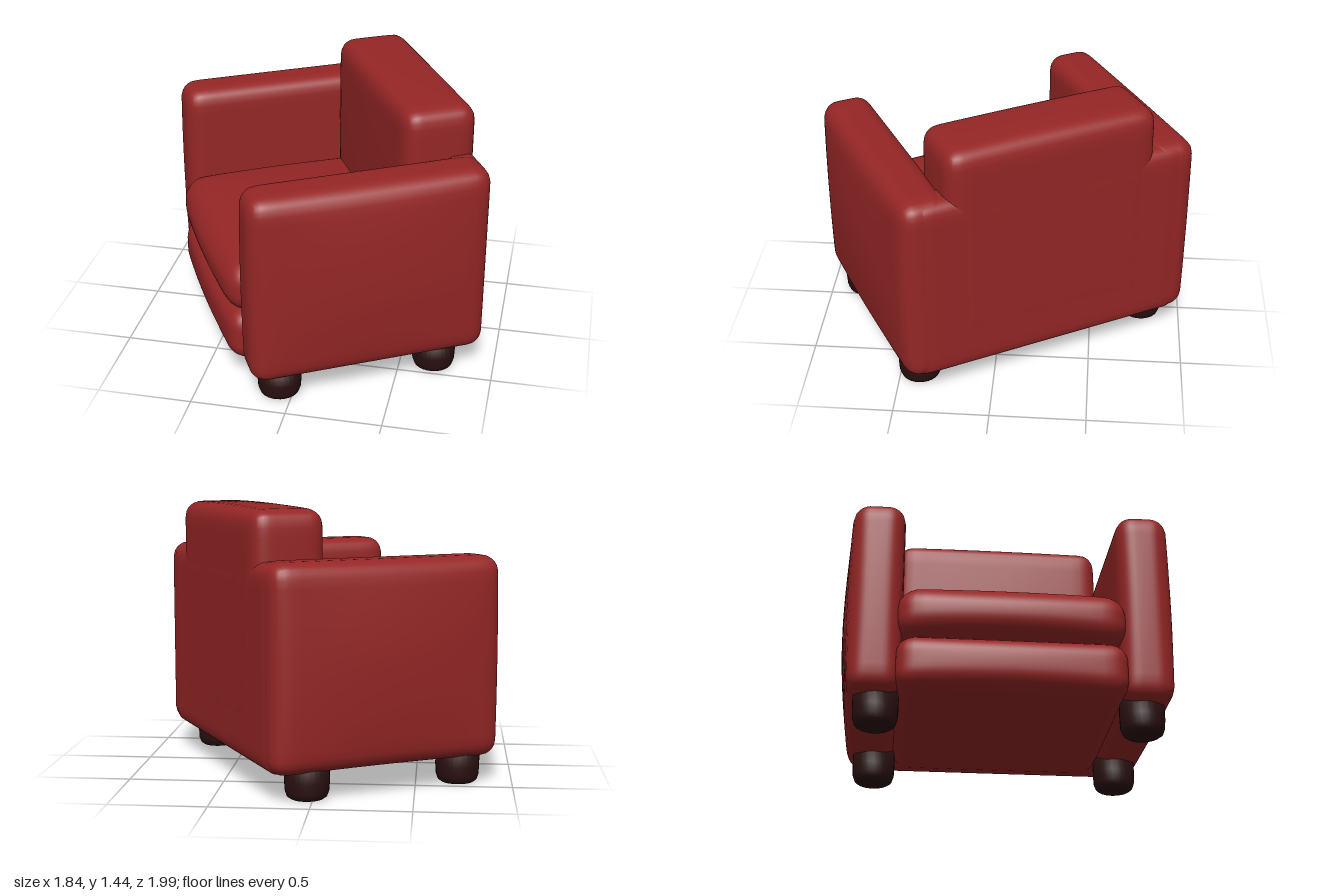
import * as THREE from 'three';
import { mergeVertices } from 'three/addons/utils/BufferGeometryUtils.js';

const leather = new THREE.MeshStandardMaterial({ color: 0x962626 });
leather.name = 'red leather';
const darkWood = new THREE.MeshStandardMaterial({ color: 0x2a1010 });
darkWood.name = 'dark wood';

// Upholstered block: rounded edges, and faces that swell towards their middle.
// min/max are opposite corners, swell = [-x, +x, -y, +y, -z, +z] amounts.
function softBlock(name, min, max, r, swell) {
  const half = max.map((v, i) => (v - min[i]) / 2);
  const mid = max.map((v, i) => (v + min[i]) / 2);
  let g = new THREE.BoxGeometry(2, 2, 2, 22, 22, 22);
  g.deleteAttribute('uv');
  g.deleteAttribute('normal');
  g = mergeVertices(g, 1e-4);
  const pos = g.attributes.position;
  for (let i = 0; i < pos.count; i++) {
    // crowd the grid lines near the edges, then round the edges off
    const p = [pos.getX(i), pos.getY(i), pos.getZ(i)].map((u, k) => Math.sin(u * Math.PI / 2) * half[k]);
    const inner = p.map((v, k) => THREE.MathUtils.clamp(v, r - half[k], half[k] - r));
    const dir = p.map((v, k) => v - inner[k]);
    const len = Math.hypot(...dir) || 1;
    const q = p.map((v, k) => inner[k] + dir[k] / len * r);
    const n = q.map((v, k) => v / half[k]);
    const out = q.map((v, k) => {
      const a = n[(k + 1) % 3], b = n[(k + 2) % 3];
      const amount = swell[k * 2 + (n[k] > 0 ? 1 : 0)];
      return mid[k] + v + n[k] * amount * (1 - a * a) * (1 - b * b);
    });
    pos.setXYZ(i, ...out);
  }
  g.computeVertexNormals();
  const mesh = new THREE.Mesh(g, leather);
  mesh.name = name;
  return mesh;
}

export function createModel() {
  const model = new THREE.Group();
  model.name = 'armchair';
  const chair = new THREE.Group();
  chair.name = 'turnedChair';
  chair.rotation.y = -1.07;
  model.add(chair);

  // Arms, swelling outwards
  chair.add(softBlock('leftArm', [0.55, 0.14, -0.64], [0.82, 1.19, 0.625], 0.09, [0, 0.045, -0.01, 0, 0, 0.01]));
  chair.add(softBlock('rightArm', [-0.82, 0.14, -0.64], [-0.55, 1.19, 0.625], 0.09, [0.045, 0, -0.01, 0, 0, 0.01]));

  // Back cushion and the panel that closes the rear between the arms
  chair.add(softBlock('back', [-0.575, 0.3, -0.642], [0.575, 1.43, -0.25], 0.085, [0.01, 0.01, 0, 0.012, 0, 0.015]));
  chair.add(softBlock('rearPanel', [-0.77, 0.14, -0.642], [0.77, 1.18, -0.44], 0.075, [0, 0, 0, 0, 0, 0]));

  // Seat base and cushion
  chair.add(softBlock('seatBase', [-0.585, 0.135, -0.6], [0.585, 0.43, 0.675], 0.1, [0, 0, 0.01, 0, 0, 0.025]));
  chair.add(softBlock('seatCushion', [-0.585, 0.415, -0.4], [0.585, 0.7, 0.675], 0.12, [0, 0, 0, 0.045, 0, 0.03]));

  // Feet
  const profile = [[0, 0], [0.085, 0], [0.102, 0.012], [0.112, 0.04], [0.115, 0.09], [0.115, 0.22], [0, 0.22]]
    .map(([x, y]) => new THREE.Vector2(x, y));
  const footGeometry = new THREE.LatheGeometry(profile, 28);
  for (const [side, x] of [['Left', 0.67], ['Right', -0.67]]) {
    for (const [end, z] of [['front', 0.45], ['back', -0.405]]) {
      const foot = new THREE.Mesh(footGeometry, darkWood);
      foot.name = end + side + 'Foot';
      foot.position.set(x, 0, z);
      chair.add(foot);
    }
  }
  return model;
}
